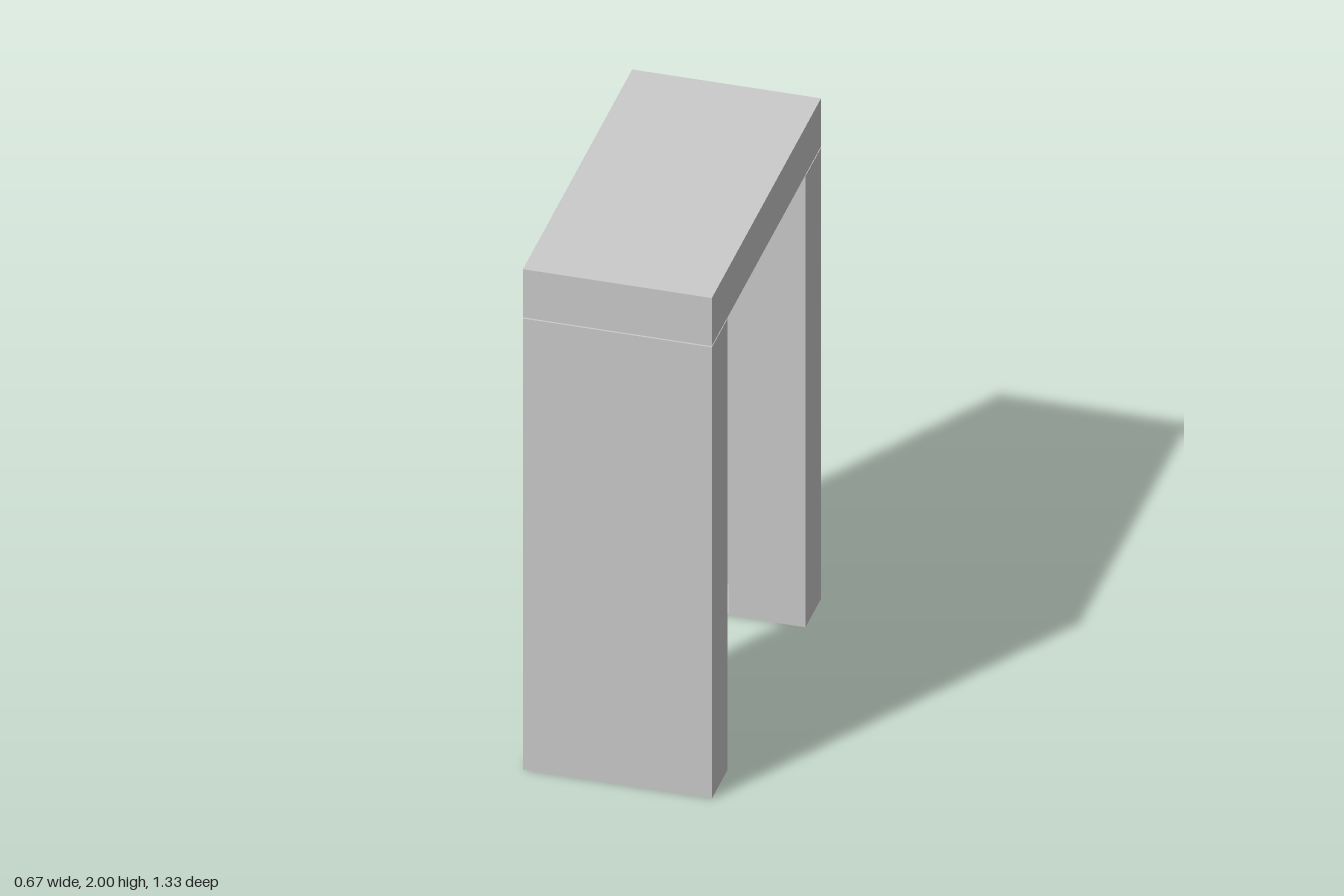
import * as THREE from 'three';

const W = 0.667, D = 1.333;       // overall width (x) and depth (z)
const LEG = 0.19;                 // leg thickness
const SLAB_Y = 1.808, LEG_Y = 1.803, PLATE = 0.006;
const SLOT = 0.062, WALL = 0.008; // slot half width, thin outer wall behind it

const material = new THREE.MeshStandardMaterial({ color: 0xcccccc, flatShading: true });

function box(name, w, y0, y1, d, z) {
  const mesh = new THREE.Mesh(new THREE.BoxGeometry(w, y1 - y0, d), material);
  mesh.position.set(0, (y0 + y1) / 2, z);
  mesh.name = name;
  return mesh;
}

// Back leg: a U-shaped section with its slot facing inward, closed at both ends
function makeLeg(name) {
  const leg = new THREE.Group();
  leg.name = name;
  const h = W / 2, outer = D / 2, inner = outer - LEG;
  const section = new THREE.Shape([
    [-h, inner], [-SLOT, inner], [-SLOT, outer - WALL], [SLOT, outer - WALL],
    [SLOT, inner], [h, inner], [h, outer], [-h, outer],
  ].map(([x, y]) => new THREE.Vector2(x, y)));
  const geometry = new THREE.ExtrudeGeometry(section, { depth: LEG_Y - PLATE, bevelEnabled: false });
  geometry.rotateX(-Math.PI / 2);
  const post = new THREE.Mesh(geometry, material);
  post.position.y = PLATE;
  post.name = 'slottedPost';
  const mid = -(outer + inner) / 2;
  leg.add(
    post,
    box('footPlate', W, 0, PLATE, LEG, mid),
    // slightly inset joint that leaves a fine line under the top
    box('joint', W - 0.014, LEG_Y, SLAB_Y, LEG - 0.014, mid),
  );
  return leg;
}

export function createModel() {
  const model = new THREE.Group();
  model.name = 'tallBench';
  model.add(box('topSlab', W, SLAB_Y, 2, D, 0));
  const backLeg = makeLeg('backLeg');
  const frontLeg = makeLeg('frontLeg');
  frontLeg.rotation.y = Math.PI;
  model.add(backLeg, frontLeg);
  return model;
}
